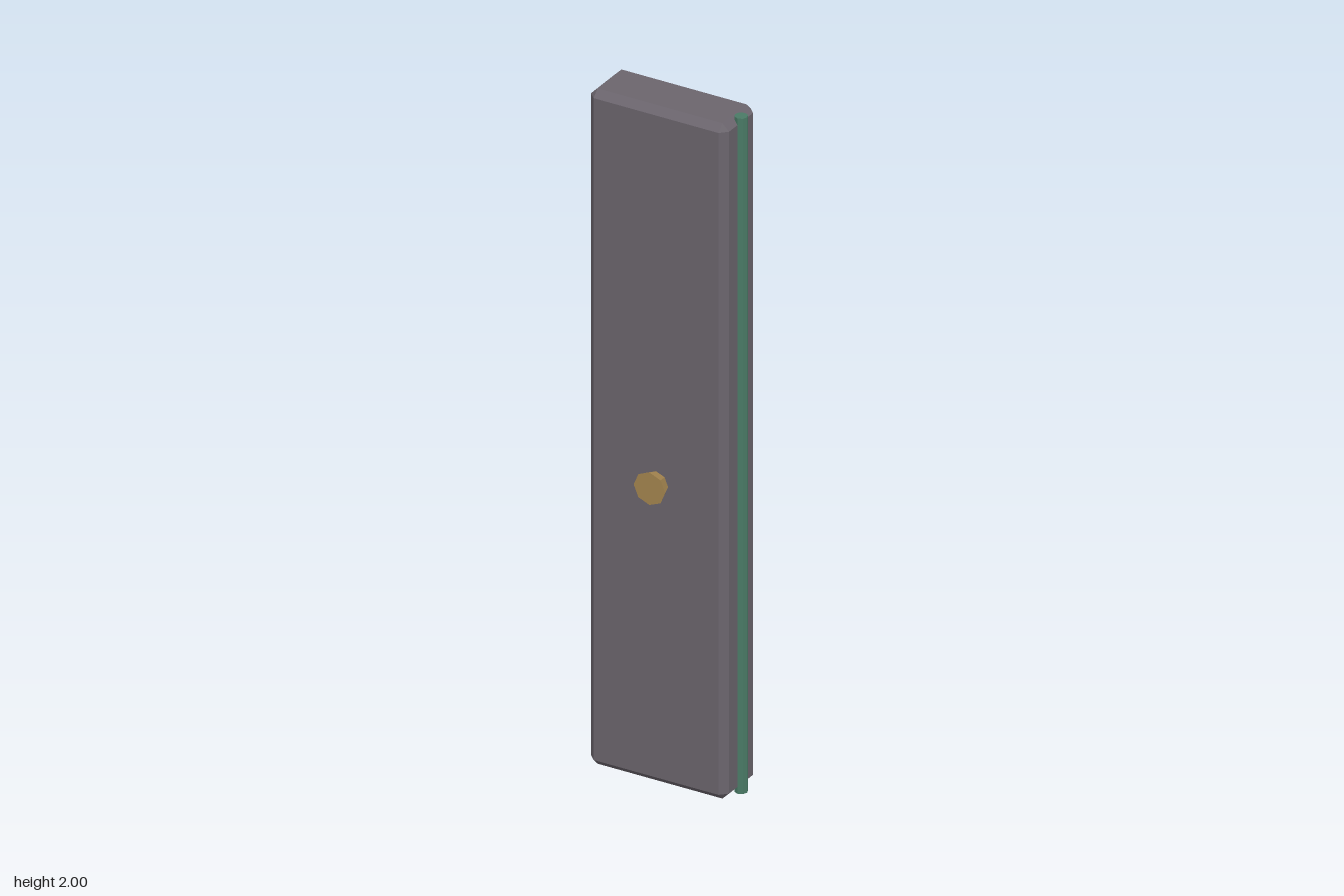
import * as THREE from 'three';
import { ConvexGeometry } from 'three/addons/geometries/ConvexGeometry.js';

const material = (name, color) => {
  const m = new THREE.MeshStandardMaterial({ color, flatShading: true });
  m.name = name;
  return m;
};

// Box with 45 degree bevels on every edge and triangular corners
function bevelledBox(w, h, d, bevel) {
  const points = [];
  for (const sx of [-1, 1]) for (const sy of [-1, 1]) for (const sz of [-1, 1]) {
    const x = sx * w / 2, y = sy * h / 2, z = sz * d / 2;
    const ix = x - sx * bevel, iy = y - sy * bevel, iz = z - sz * bevel;
    points.push(
      new THREE.Vector3(x, iy, iz),
      new THREE.Vector3(ix, y, iz),
      new THREE.Vector3(ix, iy, z)
    );
  }
  return new ConvexGeometry(points);
}

export function createModel() {
  const group = new THREE.Group();
  group.name = 'door';
  const add = (name, geometry, mat, x, y, z) => {
    const mesh = new THREE.Mesh(geometry, mat);
    mesh.name = name;
    mesh.position.set(x, y, z);
    group.add(mesh);
    return mesh;
  };

  // Door slab
  add('doorPanel', bevelledBox(0.421, 2, 0.163, 0.02),
    material('grey panel', 0x6b656d), -0.01, 1, -0.018);

  // Full-height hinge rod on the left edge
  add('hingeRod', new THREE.CylinderGeometry(0.0185, 0.0185, 2, 8),
    material('green metal', 0x4a7a66), 0.201, 1, -0.018);

  // Flared octagonal knob, wide end forward
  const knob = add('knob', new THREE.CylinderGeometry(0.048, 0.036, 0.036, 8),
    material('brass', 0xa5854f), -0.01, 0.89, 0.079);
  knob.rotation.x = Math.PI / 2;

  return group;
}
